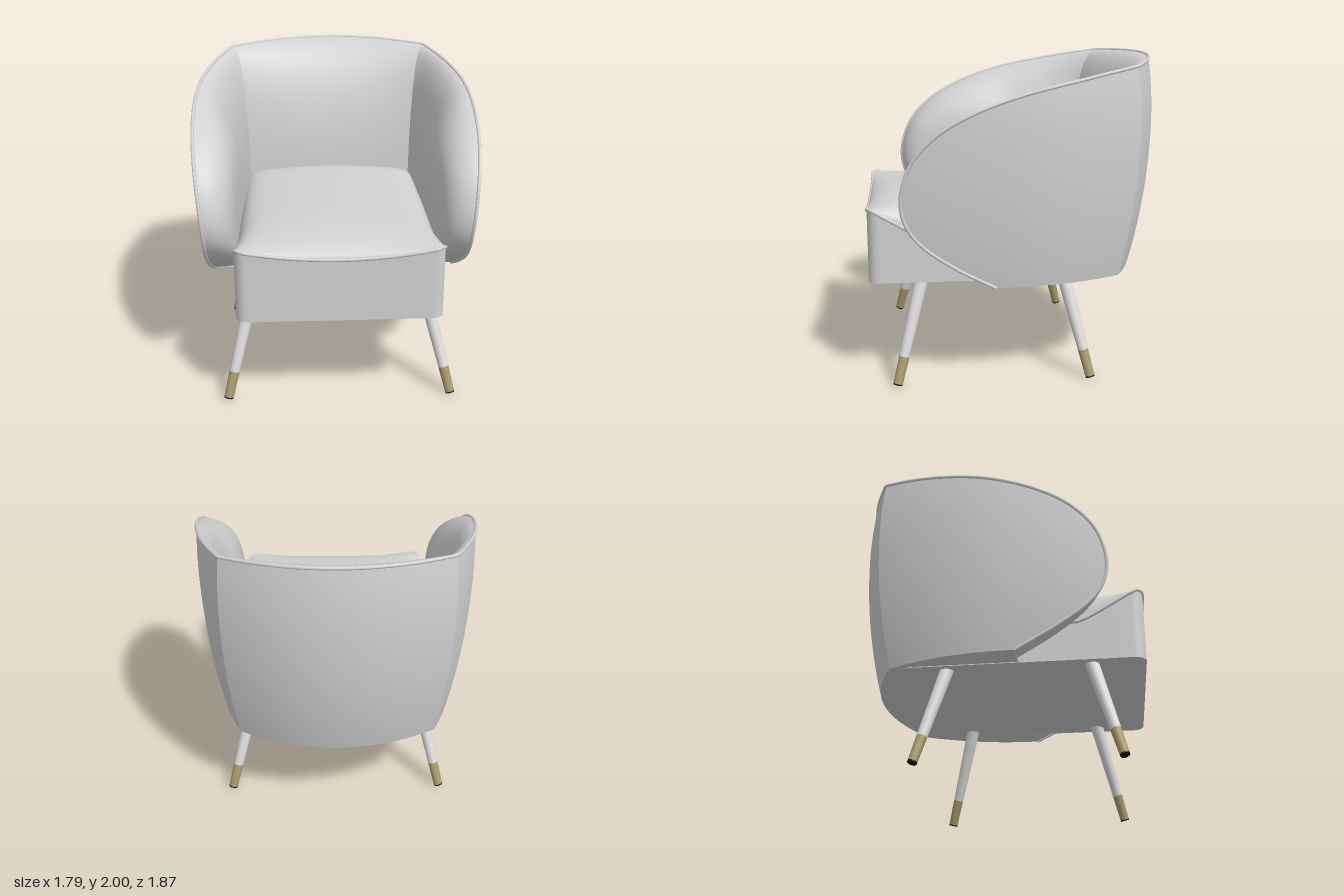
import * as THREE from 'three';

const { lerp, smoothstep } = THREE.MathUtils;
const V = (x, y, z) => new THREE.Vector3(x, y, z);

function material(name, color, side = THREE.FrontSide) {
  const m = new THREE.MeshStandardMaterial({ color, side });
  m.name = name;
  return m;
}

// Smooth surface from a function point(u, v), sampled on a grid
function patch(point, nu, nv) {
  const pos = [], idx = [];
  for (let i = 0; i <= nu; i++)
    for (let j = 0; j <= nv; j++) pos.push(...point(i / nu, j / nv).toArray());
  for (let i = 0; i < nu; i++)
    for (let j = 0; j < nv; j++) {
      const a = i * (nv + 1) + j, b = a + nv + 1;
      idx.push(a, b, a + 1, b, b + 1, a + 1);
    }
  const g = new THREE.BufferGeometry();
  g.setAttribute('position', new THREE.Float32BufferAttribute(pos, 3));
  g.setIndex(idx);
  g.computeVertexNormals();
  return g;
}

// The shell narrows towards its bottom and slightly at its top
const FLOOR = 0.65, CORNER = -0.74;
const taper = (y, low, high) =>
  y < 1.6 ? 1 - low * ((1.6 - y) / 0.95) ** 2 : 1 - high * ((y - 1.6) / 0.4) ** 2;
const place = (x, y, z) =>
  V(x * taper(y, 0.1, 0.03), y, z < 0 ? z * taper(y, 0.135, 0.035) : z);

// Outer faces of the shell in plan
const armOuter = (s, z, y) =>
  place(s * (0.89 - (z < 0.12 ? 0.274 : 0.14) * Math.abs(z - 0.12) ** 2.09), y, z);
const cornerX = 0.89 - 0.274 * (0.12 - CORNER) ** 2.09;
const backOuter = (t, y) => place(t * cornerX, y, -0.94 + (0.94 + CORNER) * t * t);

// Arm outline as (z, y), from the back corner round the front to the bottom
const armRim = new THREE.CatmullRomCurve3([
  [CORNER, 1.965], [-0.42, 1.91], [0, 1.82], [0.3, 1.71], [0.5, 1.59], [0.65, 1.42],
  [0.71, 1.2], [0.68, 1.05], [0.59, 0.93], [0.4, 0.79], [0.15, FLOOR],
].map(([z, y]) => V(z, y, 0)), false, 'centripetal');
const armRimPoint = (s, u) => {
  const p = armRim.getPointAt(u);
  return armOuter(s, p.x, p.y);
};
const backRimY = (t) => 1.99 - 0.025 * t * t;
const backRimPoint = (t) => backOuter(t, backRimY(t));

// Padding swells away from the rim; a higher power makes a blunter edge
const swell = (v, power) => Math.sqrt(1 - (1 - v) ** power);

function armOutside(s) {
  return patch((u, v) => {
    const p = armRim.getPointAt(u);
    return armOuter(s, lerp(p.x, lerp(CORNER, 0.15, u), v), lerp(p.y, FLOOR, v));
  }, 48, 20);
}

function armInside(s) {
  return patch((u, t) => {
    const v = t * t, p = armRimPoint(s, u);
    const f = swell(v, 2.5 + 7.5 * smoothstep(u, 0.25, 0.6));
    const z = lerp(p.z, lerp(-0.52, 0.15, u), lerp(f, v, Math.min(1, u * 4)));
    const inner = s * (0.57 + 0.06 * (z + 0.52));
    return V(lerp(p.x, inner, f), lerp(p.y, 0.85, v), z);
  }, 48, 28);
}

const backOutside = () => patch((u, v) => {
  const t = u * 2 - 1;
  return backOuter(t, lerp(backRimY(t), FLOOR, v));
}, 32, 20);

const backInside = () => patch((u, w) => {
  const t = u * 2 - 1, v = w * w, f = swell(v, 2.5), p = backRimPoint(t);
  return V(lerp(p.x, 0.57 * t, f), lerp(p.y, 0.85, v), lerp(p.z, -0.52, f));
}, 32, 28);

// Seat outline: rounded rectangle, x against z
function seatOutline() {
  const x = 0.63, z0 = -0.58, z1 = 0.92, r = 0.07, n = 16, pts = [];
  const corners = [[x - r, z1 - r, 0], [r - x, z1 - r, 1], [r - x, z0 + r, 2], [x - r, z0 + r, 3]];
  corners.forEach(([cx, cz, q], k) => {
    for (let i = 0; i <= 6; i++) {
      const a = (q + i / 6) * Math.PI / 2;
      pts.push([cx + r * Math.cos(a), cz + r * Math.sin(a)]);
    }
    const [ax, az] = pts[pts.length - 1];
    const [nx, nz, nq] = corners[(k + 1) % 4], a = nq * Math.PI / 2;
    const bx = nx + r * Math.cos(a), bz = nz + r * Math.sin(a);
    for (let i = 1; i < n; i++) pts.push([lerp(ax, bx, i / n), lerp(az, bz, i / n)]);
  });
  pts.push(pts[0]);
  return pts;
}

// Seam sags along the front and falls away along the sides
const seamY = (x, z) => {
  const sag = 1.045 + 0.06 * Math.min(1, (x / 0.6) ** 2);
  return Math.max(0.9, sag - Math.max(0, 0.89 - z) * 0.58);
};

// Gentle crown of the cushion
const crownY = (x, z) =>
  1.11 + 0.055 * (1 - (x / 0.63) ** 2) * (1 - Math.max(0, (z - 0.15) / 0.77) ** 4);

export function createModel() {
  const fabric = material('greyFabric', 0xd2d2d2, THREE.DoubleSide);
  const legPaint = material('paleLeg', 0xdedede);
  const brass = material('brass', 0xab9b6c);
  const rubber = material('blackRubber', 0x161616);

  const model = new THREE.Group();
  model.name = 'tubArmchair';
  const add = (name, geometry, mat = fabric, parent = model) => {
    const mesh = new THREE.Mesh(geometry, mat);
    mesh.name = name;
    parent.add(mesh);
  };
  const piping = (name, pts, r, closed) => add(name, new THREE.TubeGeometry(
    new THREE.CatmullRomCurve3(pts, closed), pts.length * 2, r, 8, closed));

  // Shell: two arms and the curved back
  for (const [side, s] of [['left', 1], ['right', -1]]) {
    add(side + 'ArmOutside', armOutside(s));
    add(side + 'ArmPadding', armInside(s));
  }
  add('backOutside', backOutside());
  add('backPadding', backInside());

  // Piping round the whole rim
  const rim = [], steps = 40;
  for (let i = steps; i > 0; i--) rim.push(armRimPoint(-1, i / steps));
  for (let i = 0; i <= 24; i++) rim.push(backRimPoint(i / 12 - 1));
  for (let i = 1; i <= steps; i++) rim.push(armRimPoint(1, i / steps));
  piping('rimPiping', rim, 0.011, false);

  // Underside of the shell
  const floor = [];
  for (let i = 0; i <= 24; i++) floor.push(armOuter(-1, lerp(0.15, CORNER, i / 24), FLOOR));
  for (let i = 1; i < 24; i++) floor.push(backOuter(i / 12 - 1, FLOOR));
  for (let i = 24; i >= 0; i--) floor.push(armOuter(1, lerp(0.15, CORNER, i / 24), FLOOR));
  const underside = new THREE.ShapeGeometry(
    new THREE.Shape(floor.map((p) => new THREE.Vector2(p.x, p.z))));
  underside.rotateX(Math.PI / 2).translate(0, FLOOR, 0);
  add('shellUnderside', underside);

  // Seat: upholstered base, its bottom, and the domed cushion
  const outline = seatOutline(), count = outline.length - 1;
  const at = (u) => outline[Math.round(u * count)];
  add('seatBase', patch((u, v) => {
    const [x, z] = at(u);
    return V(x, lerp(0.645, seamY(x, z), v), z);
  }, count, 4));
  const bottom = new THREE.ShapeGeometry(
    new THREE.Shape(outline.slice(0, -1).map(([x, z]) => new THREE.Vector2(x, z))));
  bottom.rotateX(Math.PI / 2).translate(0, 0.645, 0);
  add('seatBottom', bottom);
  add('seatCushion', patch((u, v) => {
    const [ox, oz] = at(u), s = 1 - v * v, x = ox * s, z = lerp(0.15, oz, s);
    return V(x, lerp(seamY(ox, oz), crownY(x, z), Math.sqrt(1 - s ** 12)), z);
  }, count, 24));
  piping('seatPiping', outline.slice(0, -1).map(([x, z]) => V(x, seamY(x, z), z)), 0.011, true);

  // Splayed tapered legs with brass tips and rubber feet
  function leg(name, s, zTop, zFoot) {
    const foot = V(s * 0.713 + 0.007, 0.012, zFoot), top = V(s * 0.545 + 0.004, 0.68, zTop);
    const axis = top.clone().sub(foot), length = axis.length();
    const group = new THREE.Group();
    group.name = name;
    group.position.copy(foot);
    group.quaternion.setFromUnitVectors(V(0, 1, 0), axis.normalize());
    const section = (part, a, b, mat) => {
      const radius = (h) => 0.029 + 0.014 * h / length;
      const g = new THREE.CylinderGeometry(radius(b), radius(a), b - a, 24);
      add(part, g.translate(0, (a + b) / 2, 0), mat, group);
    };
    section('legFoot', 0, 0.008, rubber);
    section('legTip', 0.008, 0.18, brass);
    section('legShaft', 0.18, length, legPaint);
    model.add(group);
  }
  for (const [side, s] of [['Left', 1], ['Right', -1]]) {
    leg('front' + side + 'Leg', s, 0.585, 0.757);
    leg('back' + side + 'Leg', s, -0.29, -0.456);
  }
  return model;
}
